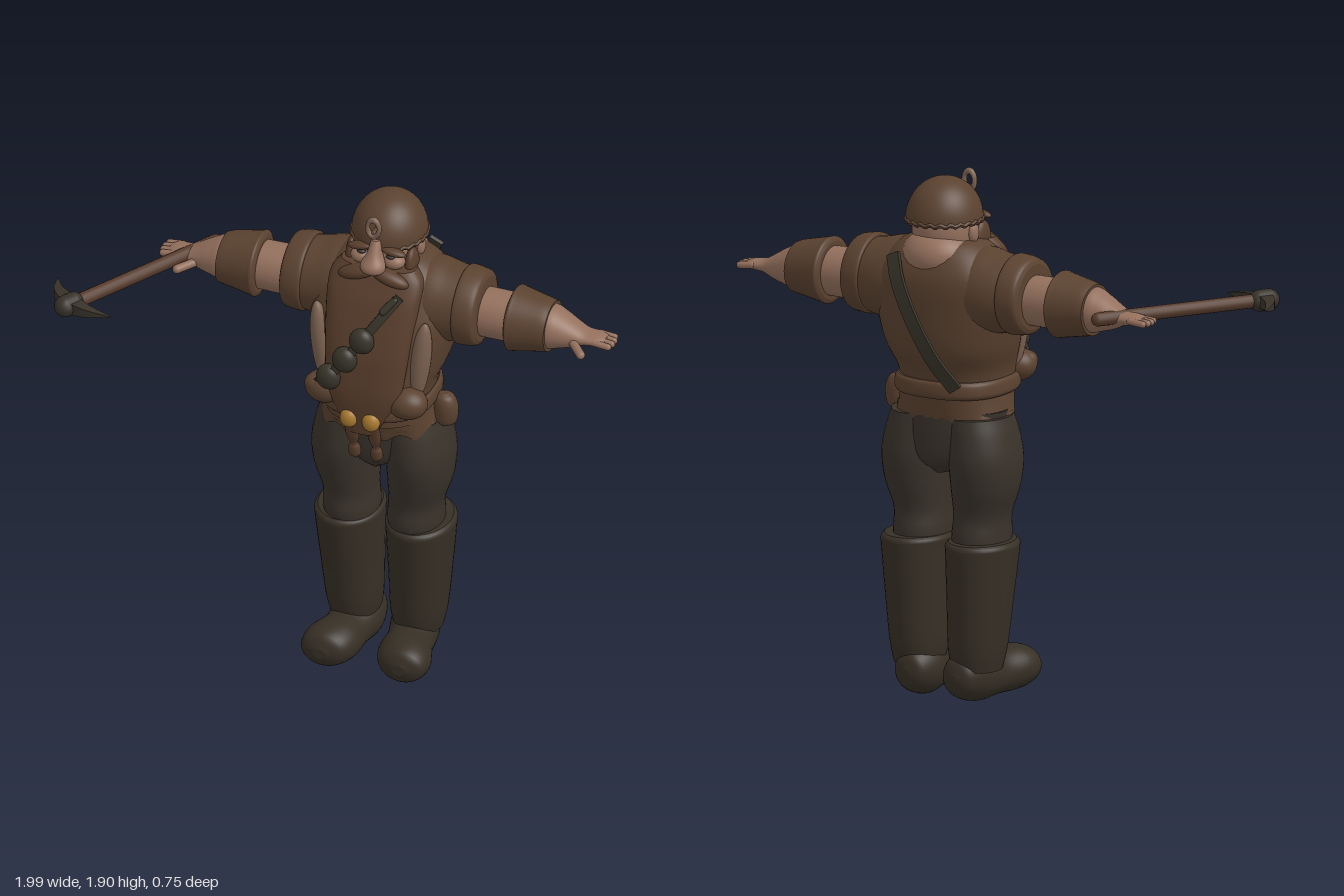
import * as THREE from 'three';

const V = (x, y, z) => new THREE.Vector3(x, y, z);
const mat = (name, color) => {
  const m = new THREE.MeshStandardMaterial({ color });
  m.name = name;
  return m;
};

// Smooth loft through rings [t, centreU, centreV, radiusU, radiusV] along an axis.
// Axis y: u = x, v = z. Axis x: u = z, v = y. Axis z: u = y, v = x.
function loft(rings, axis = 'y', power = 1, segs = 36) {
  const steps = (rings.length - 1) * 5;
  const centres = new THREE.CatmullRomCurve3(rings.map(r => V(r[1], r[0], r[2])), false, 'catmullrom');
  const radii = new THREE.CatmullRomCurve3(rings.map(r => V(r[3], r[4], 0)), false, 'catmullrom');
  const pos = [], idx = [];
  const put = (u, t, v) => pos.push(...(axis === 'y' ? [u, t, v] : axis === 'x' ? [t, v, u] : [v, u, t]));
  const sq = v => Math.sign(v) * Math.abs(v) ** power;
  const ring = i => {
    const c = centres.getPoint(i / steps), r = radii.getPoint(i / steps);
    for (let j = 0; j < segs; j++) {
      const a = j / segs * Math.PI * 2;
      put(c.x + r.x * sq(Math.cos(a)), c.y, c.z + r.y * sq(Math.sin(a)));
    }
    return c;
  };
  for (let i = 0; i <= steps; i++) ring(i);
  for (let i = 0; i < steps; i++) for (let j = 0; j < segs; j++) {
    const a = i * segs + j, b = i * segs + (j + 1) % segs;
    idx.push(a, a + segs, b, b, a + segs, b + segs);
  }
  for (const end of [0, steps]) {
    const base = pos.length / 3, c = ring(end);
    put(c.x, c.y, c.z);
    for (let j = 0; j < segs; j++) {
      const a = base + j, b = base + (j + 1) % segs;
      if (end) idx.push(a, base + segs, b); else idx.push(a, b, base + segs);
    }
  }
  const g = new THREE.BufferGeometry();
  g.setAttribute('position', new THREE.Float32BufferAttribute(pos, 3));
  g.setIndex(idx);
  g.computeVertexNormals();
  return g;
}

const ball = (x, y, z, rx, ry = rx, rz = rx, tilt = 0) =>
  new THREE.SphereGeometry(1, 28, 18).scale(rx, ry, rz).rotateZ(tilt).translate(x, y, z);

// Rounded rod between two points
function rod(a, b, r) {
  const d = b.clone().sub(a), g = new THREE.CapsuleGeometry(r, d.length(), 6, 14);
  g.applyQuaternion(new THREE.Quaternion().setFromUnitVectors(V(0, 1, 0), d.normalize()));
  return g.translate((a.x + b.x) / 2, (a.y + b.y) / 2, (a.z + b.z) / 2);
}

// Flat band bent along a curve; taper thins both ends
function band(points, normal, width, thick, taper = 0) {
  const curve = new THREE.CatmullRomCurve3(points);
  const g = new THREE.BoxGeometry(1, width, thick, 28, 1, 1), p = g.attributes.position;
  for (let i = 0; i < p.count; i++) {
    const u = p.getX(i) + 0.5, t = curve.getTangent(u);
    const s = normal.clone().cross(t).normalize(), n = t.clone().cross(s);
    const k = 1 - taper * Math.abs(2 * u - 1) ** 1.4;
    const q = curve.getPoint(u).addScaledVector(s, p.getY(i) * k).addScaledVector(n, p.getZ(i) * k);
    p.setXYZ(i, q.x, q.y, q.z);
  }
  g.computeVertexNormals();
  return g;
}

function mirrored(geo) {
  const g = geo.clone().scale(-1, 1, 1), a = g.index.array;
  for (let i = 0; i < a.length; i += 3) [a[i], a[i + 1]] = [a[i + 1], a[i]];
  return g;
}

export function createModel() {
  const root = new THREE.Group(), body = new THREE.Group();
  body.name = 'body';
  body.position.x = 0.125;
  root.add(body);

  const skin = mat('skin', 0x94705d), leather = mat('leather', 0x5b4230), beardMat = mat('beard brown', 0x593e2c);
  const cloth = mat('trouser cloth', 0x39322a), boot = mat('boot leather', 0x362f25), shirt = mat('shirt', 0x7c6252);
  const gold = mat('gold', 0xa97a30), iron = mat('iron', 0x38322a), wood = mat('wood', 0x573c2d), strapMat = mat('strap', 0x38342a);

  const add = (name, geo, m, parent = body) => {
    const mesh = new THREE.Mesh(geo, m);
    mesh.name = name;
    parent.add(mesh);
  };
  const pair = (name, geo, m) => {
    add(name + 'Left', geo, m);
    add(name + 'Right', mirrored(geo), m);
  };

  // Legs, boots and feet
  pair('trouserLeg', loft([[.5, .125, -.12, .095, .11], [.6, .122, -.11, .1, .127], [.68, .125, -.108, .1, .118],
    [.78, .138, -.11, .117, .142], [.88, .14, -.11, .123, .16], [.97, .13, -.11, .118, .153], [1.04, .115, -.11, .112, .14]]), cloth);
  add('trouserSeat', loft([[.83, 0, -.11, .03, .1], [.88, 0, -.11, .12, .145], [.97, 0, -.11, .2, .15], [1.06, 0, -.11, .215, .145]]), cloth);
  pair('bootShaft', loft([[.12, .12, -.14, .088, .1], [.2, .122, -.137, .102, .118], [.35, .128, -.133, .112, .132],
    [.54, .134, -.126, .123, .153], [.575, .134, -.125, .124, .154], [.588, .134, -.125, .112, .142]]), boot);
  pair('foot', loft([[-.263, .1, .1, .012, .012], [-.24, .1, .1, .066, .06], [-.15, .1, .105, .1, .09], [-.05, .086, .12, .08, .086],
    [.05, .09, .137, .082, .1], [.12, .092, .147, .064, .08], [.148, .092, .15, .02, .025]], 'z'), boot);

  // Torso, ragged skirt and belt
  add('tunic', loft([[1.08, 0, -.07, .19, .18], [1.2, 0, -.08, .203, .195], [1.3, 0, -.11, .24, .208], [1.45, 0, -.13, .272, .202],
    [1.55, 0, -.153, .265, .18], [1.62, 0, -.155, .215, .155], [1.67, 0, -.155, .155, .12], [1.69, 0, -.155, .1, .09]], 'y', .85, 48), leather);
  const skirt = loft([[1.015, 0, -.09, .218, .162], [1.07, 0, -.085, .205, .175], [1.13, 0, -.08, .195, .19]], 'y', .85, 54);
  const sp = skirt.attributes.position;
  for (let i = 0; i < sp.count; i++) {
    if (sp.getY(i) < 1.04) sp.setY(i, sp.getY(i) + .016 * Math.sin(9 * Math.atan2(sp.getZ(i) + .09, sp.getX(i))));
  }
  skirt.computeVertexNormals();
  add('raggedSkirt', skirt, leather);
  add('belt', loft([[1.115, 0, -.077, .203, .2], [1.13, 0, -.077, .212, .209], [1.165, 0, -.077, .21, .207], [1.178, 0, -.077, .2, .198]], 'y', .8, 48), leather);
  pair('shirtPanel', ball(.186, 1.34, .025, .038, .17, .04, -.12), shirt);
  pair('bellyPouch', ball(.155, 1.19, .07, .075, .06, .065), leather);
  pair('buckle', ball(.042, 1.12, .135, .033, .037, .028), gold);
  add('hipPouch', loft([[1.015, .235, -.1, .02, .02], [1.035, .237, -.1, .04, .036], [1.09, .237, -.1, .045, .042],
    [1.13, .232, -.1, .036, .034], [1.145, .23, -.1, .015, .015]]), leather);

  // Arms: sleeve, cuff, bracer, skin and hand
  pair('sleeve', loft([[.08, -.155, 1.5, .14, .155], [.17, -.155, 1.505, .15, .16], [.24, -.155, 1.505, .145, .145], [.3, -.15, 1.505, .135, .135]], 'x'), leather);
  pair('sleeveCuff', loft([[.285, -.15, 1.508, .13, .13], [.295, -.15, 1.508, .146, .146], [.355, -.15, 1.506, .14, .138], [.37, -.15, 1.505, .118, .118]], 'x'), leather);
  pair('arm', loft([[.3, -.15, 1.493, .088, .09], [.42, -.15, 1.493, .09, .091], [.6, -.15, 1.492, .085, .085], [.66, -.15, 1.487, .074, .068],
    [.71, -.15, 1.48, .058, .046], [.75, -.15, 1.478, .047, .026], [.8, -.152, 1.478, .043, .019], [.825, -.152, 1.477, .03, .012]], 'x'), skin);
  pair('bracer', loft([[.472, -.15, 1.494, .105, .105], [.482, -.15, 1.494, .121, .121], [.5, -.15, 1.494, .118, .118], [.56, -.15, 1.493, .106, .106],
    [.6, -.15, 1.492, .1, .098], [.622, -.15, 1.49, .096, .092]], 'x'), leather);
  for (let i = 0; i < 4; i++) {
    const z = -.187 + i * .023;
    pair('finger' + (i + 1), rod(V(.79, 1.478, z), V(.852 - Math.abs(i - 1.5) * .006, 1.473, z), .0125), skin);
  }
  pair('thumb', rod(V(.7, 1.475, -.12), V(.765, 1.462, -.052), .016), skin);

  // Head and face
  add('neck', ball(0, 1.625, -.2, .135, .1, .128), skin);
  add('head', ball(0, 1.715, -.155, .118, .15, .128), skin);
  add('nose', loft([[1.665, 0, .005, .012, .012], [1.68, 0, .006, .042, .038], [1.705, 0, .006, .045, .042],
    [1.74, 0, -.012, .028, .034], [1.79, 0, -.035, .018, .024]]), skin);
  pair('cheek', ball(.062, 1.7, -.045, .04, .028, .035), skin);
  pair('ear', ball(.118, 1.71, -.16, .018, .038, .026), skin);
  pair('eyebrow', ball(.063, 1.748, -.03, .047, .014, .022, -.15), beardMat);
  pair('eye', ball(.055, 1.728, -.025, .016, .008, .012), iron);
  pair('moustache', ball(.062, 1.655, -.002, .075, .027, .034, -.3), beardMat);
  pair('sideburn', ball(.112, 1.675, -.09, .022, .065, .045), beardMat);
  add('beard', loft([[1.06, 0, .112, .05, .025], [1.2, 0, .095, .13, .05], [1.3, 0, .078, .148, .056], [1.4, 0, .055, .158, .06],
    [1.55, 0, .002, .172, .06], [1.63, 0, -.04, .172, .06], [1.675, 0, -.06, .14, .055]], 'y', .75), beardMat);
  pair('beardBraid', loft([[.918, .04, .075, .008, .008], [.935, .042, .075, .022, .02], [.965, .042, .08, .021, .02], [.985, .042, .085, .013, .013],
    [1.02, .042, .095, .023, .02], [1.09, .042, .12, .025, .02]], 'y', 1, 16), beardMat);

  // Helmet with scalloped rim and crest ring
  add('helmet', new THREE.SphereGeometry(1, 40, 18, 0, Math.PI * 2, 0, Math.PI / 2).scale(.136, .15, .146).translate(0, 1.752, -.165), leather);
  add('helmetUnderside', new THREE.CircleGeometry(1, 40).rotateX(Math.PI / 2).scale(.136, 1, .146).translate(0, 1.751, -.165), leather);
  const rim = new THREE.TorusGeometry(1, .055, 8, 90).rotateX(Math.PI / 2).scale(.134, .16, .144);
  const rp = rim.attributes.position;
  for (let i = 0; i < rp.count; i++) rp.setY(i, rp.getY(i) + .004 * Math.sin(24 * Math.atan2(rp.getZ(i), rp.getX(i))));
  rim.computeVertexNormals();
  add('helmetRim', rim.translate(0, 1.75, -.165), leather);
  add('crestRing', new THREE.TorusGeometry(.022, .008, 10, 24).scale(1, 1.55, 1.5).translate(0, 1.853, 0), shirt);
  add('crestStem', rod(V(0, 1.83, -.005), V(0, 1.82, -.06), .011), leather);

  // Bandolier with round flasks
  add('backStrap', band([V(.12, 1.635, -.315), V(.08, 1.55, -.352), V(.01, 1.42, -.37), V(-.07, 1.28, -.358), V(-.14, 1.17, -.315)], V(0, 0, -1), .052, .014), strapMat);
  add('frontStrap', band([V(.115, 1.61, .045), V(.05, 1.52, .092), V(0, 1.445, .115), V(-.06, 1.36, .135), V(-.12, 1.275, .135), V(-.205, 1.19, .08)], V(0, 0, 1), .034, .014), strapMat);
  add('strapEnd', rod(V(.1, 1.6, .05), V(.065, 1.56, .078), .014), strapMat);
  [[0, 1.445, .118], [-.06, 1.36, .13], [-.12, 1.275, .132]].forEach((p, i) => add('flask' + (i + 1), ball(...p, .046, .05, .036), strapMat));
  add('strapPouch', ball(-.185, 1.205, .085, .042, .036, .04), leather);

  // Pickaxe
  const pick = new THREE.Group();
  pick.name = 'pickaxe';
  root.add(pick);
  add('pickHandle', rod(V(-.565, 1.483, -.24), V(-.89, 1.483, .3), .025), wood, pick);
  add('pickHub', rod(V(-.897, 1.483, .305), V(-.915, 1.483, .338), .039), iron, pick);
  add('pickBlade', band([V(-1, 1.483, .185), V(-.967, 1.483, .262), V(-.905, 1.483, .315), V(-.835, 1.483, .34), V(-.74, 1.483, .345)], V(0, 1, 0), .055, .05, .9), iron, pick);
  return root;
}
